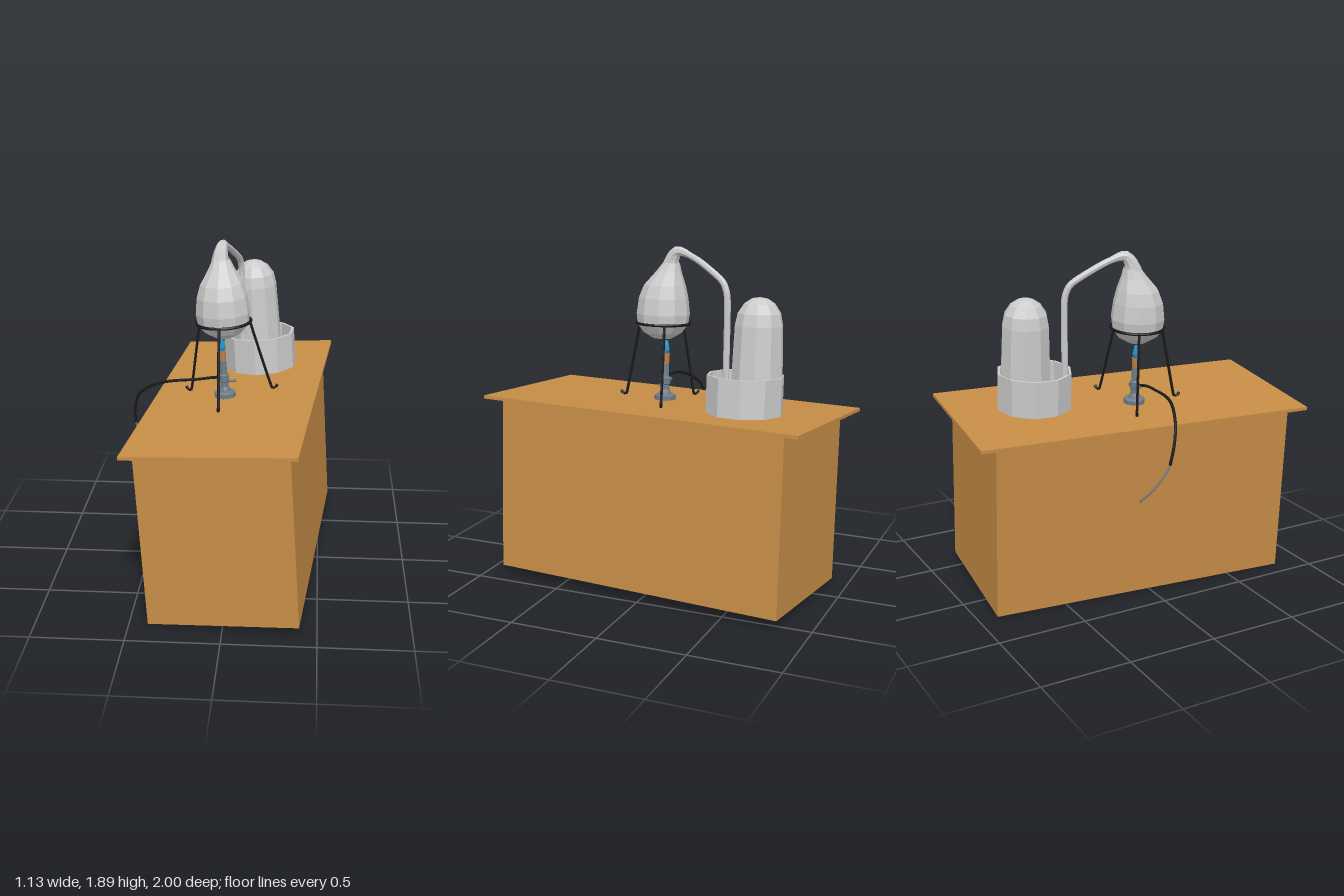
import * as THREE from 'three';

const mat = (color) => new THREE.MeshStandardMaterial({ color, flatShading: true, side: THREE.DoubleSide });
const WOOD = mat(0xc68d46), METAL = mat(0xcccccc), BLACK = mat(0x1a1a1a);
const STEEL = mat(0x6e7c88), BRASS = mat(0xc08040), BLUE = mat(0x2090c8);

// The bench stands slightly turned and tilted; everything on it shares this frame
const axisZ = new THREE.Vector3(-0.175, -0.009, 1.915).normalize();
const axisY = axisZ.clone().cross(new THREE.Vector3(0.9, 0.055, 0.08)).normalize();
const axisX = axisY.clone().cross(axisZ);
const tilt = new THREE.Quaternion().setFromRotationMatrix(new THREE.Matrix4().makeBasis(axisX, axisY, axisZ));
const topCentre = new THREE.Vector3(0.021, 1.033, 0);
const tableY = (x, z) => topCentre.y - ((x - topCentre.x) * axisY.x + z * axisY.z) / axisY.y;

function mesh(name, geometry, material, parent) {
  const m = new THREE.Mesh(geometry, material);
  m.name = name;
  parent.add(m);
  return m;
}

// Group standing on the bench top at x, z
function station(name, x, z, parent) {
  const g = new THREE.Group();
  g.name = name;
  g.position.set(x, tableY(x, z), z);
  g.quaternion.copy(tilt);
  parent.add(g);
  return g;
}

const lathe = (profile, sides) => new THREE.LatheGeometry(profile.map(([r, y]) => new THREE.Vector2(r, y)), sides);

// Tube through points; radiusAt gives the radius for t in 0..1
function tube(points, radiusAt, steps, sides, tension = 0.5) {
  const curve = new THREE.CatmullRomCurve3(points.map((p) => new THREE.Vector3(...p)), false, 'catmullrom', tension);
  const geo = new THREE.TubeGeometry(curve, steps, 1, sides);
  const pos = geo.attributes.position, v = new THREE.Vector3();
  for (let i = 0; i < pos.count; i++) {
    const t = Math.floor(i / (sides + 1)) / steps;
    const c = curve.getPointAt(t);
    v.fromBufferAttribute(pos, i).sub(c).multiplyScalar(radiusAt(t)).add(c);
    pos.setXYZ(i, v.x, v.y, v.z);
  }
  return geo;
}

export function createModel() {
  const model = new THREE.Group();
  model.name = 'distillationBench';

  // Bench: solid body with an overhanging top
  const bench = station('bench', topCentre.x, 0, model);
  mesh('benchTop', new THREE.BoxGeometry(0.908, 0.018, 1.923), WOOD, bench).position.y = -0.009;
  mesh('benchBody', new THREE.BoxGeometry(0.81, 0.984, 1.73), WOOD, bench).position.y = -0.51;

  // Cooling tub, open at the top, with a domed receiver standing in it
  const tub = station('coolingTub', 0.135, -0.48, model);
  mesh('tub', lathe([[0, 0.003], [0.212, 0.003], [0.212, 0.21], [0.198, 0.21], [0.198, 0.03], [0, 0.03]], 10), METAL, tub);
  const receiver = station('receiver', 0.12, -0.54, model);
  mesh('receiverDome', lathe([[0.142, 0.03], [0.14, 0.22], [0.131, 0.48], [0.118, 0.545], [0.085, 0.595],
    [0.045, 0.622], [0, 0.63]], 10), METAL, receiver);

  // Flask: its upper part leans back into the neck
  const flask = station('flask', -0.02, 0.075, model);
  const body = lathe([[0, 0.345], [0.055, 0.352], [0.11, 0.385], [0.143, 0.43], [0.151, 0.49], [0.14, 0.58],
    [0.118, 0.65], [0.073, 0.725], [0.048, 0.775]], 10);
  const pos = body.attributes.position;
  for (let i = 0; i < pos.count; i++) {
    pos.setZ(i, pos.getZ(i) - 0.3 * Math.max(0, pos.getY(i) - 0.63));
  }
  mesh('flaskBody', body, METAL, flask);

  // Neck and tapering pipe from the flask down into the tub
  mesh('pipe', tube([[-0.068, 1.79, 0.037], [-0.066, 1.835, 0.022], [-0.06, 1.868, -0.005], [-0.053, 1.868, -0.045],
    [-0.03, 1.825, -0.15], [0.013, 1.74, -0.29], [0.024, 1.69, -0.325], [0.028, 1.62, -0.337],
    [0.032, 1.4, -0.337], [0.04, 1.08, -0.335]],
  (t) => 0.018 + 0.031 * Math.pow(Math.max(0, 1 - t / 0.16), 1.2), 48, 8, 0.4), METAL, model);

  // Tripod: ring with three hook-footed legs
  const ring = mesh('tripodRing', new THREE.TorusGeometry(0.15, 0.008, 6, 30), BLACK, flask);
  ring.rotation.x = Math.PI / 2;
  ring.position.y = 0.437;
  const legs = [ // top x, z and foot x, z
    [-0.182, 0.01, -0.24, -0.035],
    [0.085, 0.01, 0.215, -0.025],
    [-0.062, 0.22, -0.058, 0.31],
  ];
  for (const [tx, tz, fx, fz] of legs) {
    const out = new THREE.Vector2(fx + 0.047, fz - 0.075).normalize();
    const y = tableY(fx, fz) + 0.009;
    const at = (d, h) => [fx + out.x * d, y + h, fz + out.y * d];
    const topY = 1.47 + 0.061 * (tx + 0.045);
    const leg = [[tx, topY, tz], [tx + (fx - tx) * 0.5, (topY + y) / 2, tz + (fz - tz) * 0.5],
      at(-0.004, 0.02), at(0.008, 0), at(0.024, 0), at(0.036, 0.016)];
    mesh('tripodLeg', tube(leg, () => 0.008, 32, 6), BLACK, model);
  }

  // Gas burner
  const burner = station('burner', -0.04, 0.06, model);
  mesh('burnerStand', lathe([[0, 0], [0.06, 0], [0.06, 0.024], [0.052, 0.03], [0.034, 0.032], [0.03, 0.045],
    [0.023, 0.058], [0.023, 0.085], [0.028, 0.09], [0.028, 0.125], [0.02, 0.132], [0.018, 0.21], [0, 0.21]], 12), STEEL, burner);
  mesh('burnerCollar', new THREE.CylinderGeometry(0.021, 0.018, 0.058, 10), BRASS, burner).position.y = 0.235;
  mesh('burnerTip', lathe([[0.013, 0.26], [0.019, 0.285], [0.015, 0.31], [0.009, 0.335], [0, 0.34]], 10), BLUE, burner);
  for (const side of [-1, 1]) {
    const valve = mesh(side > 0 ? 'burnerValve' : 'hoseNozzle', new THREE.CylinderGeometry(0.01, 0.01, 0.05, 8), STEEL, burner);
    valve.rotation.z = Math.PI / 2;
    valve.position.set(side * 0.04, 0.09 + (side < 0 ? 0.018 : 0), 0);
  }

  // Gas hose running over the bench edge, with a bare end
  mesh('hose', tube([[-0.085, 1.14, 0.065], [-0.13, 1.143, 0.09], [-0.2, 1.137, 0.102], [-0.3, 1.13, 0.105],
    [-0.38, 1.115, 0.095], [-0.46, 1.08, 0.068], [-0.53, 1.02, 0.035], [-0.558, 0.93, 0.01], [-0.562, 0.83, -0.015]],
  () => 0.0085, 40, 6), BLACK, model);
  mesh('hoseEnd', tube([[-0.562, 0.83, -0.015], [-0.548, 0.76, -0.05], [-0.515, 0.68, -0.1], [-0.46, 0.61, -0.142]],
    () => 0.007, 14, 6), mat(0x808080), model);

  return model;
}
